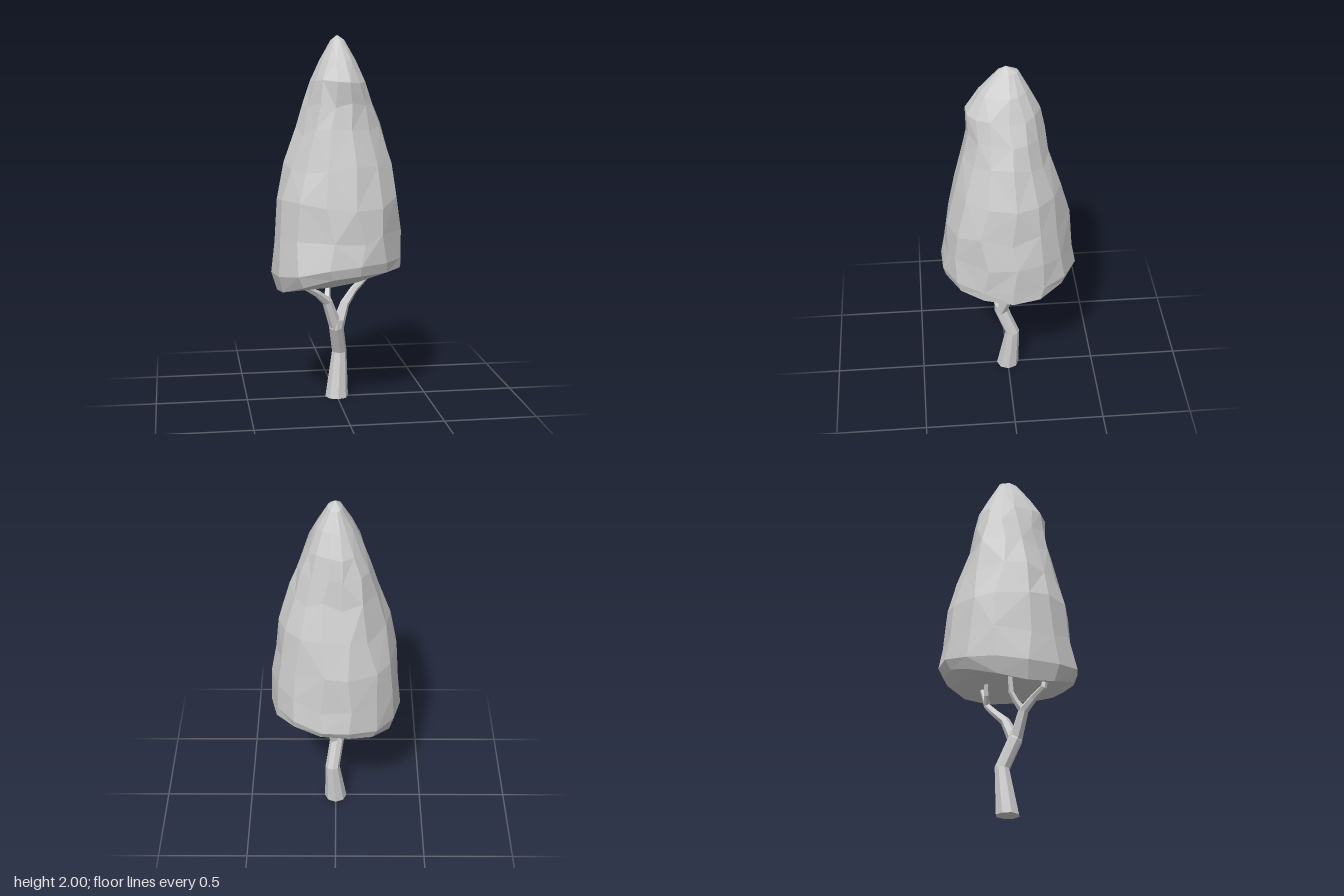
import * as THREE from 'three';

const material = new THREE.MeshStandardMaterial({ color: 0xcccccc, flatShading: true });

// Small seeded noise in -1..1
function makeNoise(seed) {
  return () => {
    seed = (seed * 16807) % 2147483647;
    return (seed / 2147483647) * 2 - 1;
  };
}

// Skin a stack of equal-sized rings, bottom to top, and close both ends with a fan
function loft(name, rings, bottom, top) {
  const n = rings[0].length;
  const pos = [];
  const tri = (...pts) => pts.forEach((p) => pos.push(p.x, p.y, p.z));
  for (let r = 0; r < rings.length - 1; r++) {
    for (let i = 0; i < n; i++) {
      const j = (i + 1) % n;
      const a = rings[r][i], b = rings[r][j], c = rings[r + 1][j], d = rings[r + 1][i];
      // alternate the diagonal for an irregular faceted look
      if ((i + r) % 2) { tri(a, d, c); tri(a, c, b); }
      else { tri(a, d, b); tri(d, c, b); }
    }
  }
  const last = rings[rings.length - 1];
  for (let i = 0; i < n; i++) {
    const j = (i + 1) % n;
    tri(bottom, rings[0][i], rings[0][j]);
    tri(top, last[j], last[i]);
  }
  const geo = new THREE.BufferGeometry();
  geo.setAttribute('position', new THREE.Float32BufferAttribute(pos, 3));
  geo.computeVertexNormals();
  const mesh = new THREE.Mesh(geo, material);
  mesh.name = name;
  return mesh;
}

// Tapered limb through [x, y, z, radius] stations
function limb(name, stations, sides, levelBase = false) {
  const pts = stations.map(([x, y, z]) => new THREE.Vector3(x, y, z));
  const up = new THREE.Vector3(0, 1, 0);
  const rings = pts.map((p, k) => {
    const dir = pts[Math.min(k + 1, pts.length - 1)].clone().sub(pts[Math.max(k - 1, 0)]).normalize();
    if (levelBase && k === 0) dir.copy(up);
    const q = new THREE.Quaternion().setFromUnitVectors(up, dir);
    return Array.from({ length: sides }, (_, i) => {
      const a = (i / sides) * Math.PI * 2;
      return new THREE.Vector3(Math.cos(a), 0, Math.sin(a))
        .multiplyScalar(stations[k][3]).applyQuaternion(q).add(p);
    });
  });
  return loft(name, rings, pts[0], pts[pts.length - 1]);
}

// Leafy crown: each level is [y, xMin, xMax, zMin, zMax, slope along x, lift by z squared]
function makeCrown() {
  const levels = [
    [0.70, -0.265, 0.29, -0.28, 0.285, 0.17, 0],
    [0.685, -0.325, 0.352, -0.345, 0.352, 0.17, 0.5],
    [0.77, -0.355, 0.35, -0.37, 0.366, 0.13, 0.2],
    [0.93, -0.343, 0.343, -0.355, 0.342, 0.05, 0],
    [1.12, -0.328, 0.32, -0.327, 0.33, 0, 0],
    [1.3, -0.285, 0.3, -0.277, 0.287, 0, 0],
    [1.5, -0.217, 0.24, -0.212, 0.237, 0, 0],
    [1.64, -0.178, 0.195, -0.187, 0.218, 0, 0],
    [1.75, -0.143, 0.152, -0.165, 0.218, 0, 0],
    [1.87, -0.092, 0.102, -0.107, 0.15, 0, 0],
    [1.97, -0.034, 0.04, -0.055, 0.06, 0, 0],
  ];
  // broad swellings: angle, height, vertical spread, strength
  const swellings = [
    [Math.PI * 0.75, 0.75, 0.25, 0.08],
    [Math.PI * 1.25, 1.57, 0.15, 0.13],
    [Math.PI * 0.25, 1.03, 0.2, 0.08],
  ];
  const noise = makeNoise(4217);
  const sides = 14;
  const rings = levels.map(([y, x0, x1, z0, z1, slope, lift], r) => {
    const wobble = r > 2 ? Math.min(0.9, x1 / 0.25) : 0.3;
    return Array.from({ length: sides }, (_, i) => {
      const a = ((i + noise() * 0.22 * wobble) / sides) * Math.PI * 2;
      const c = Math.cos(a), s = Math.sin(a);
      let k = 1.01 + noise() * 0.02 * wobble;
      for (const [angle, height, spread, strength] of swellings) {
        k += strength * Math.max(0, Math.cos(a - angle)) ** 8 * Math.exp(-(((y - height) / spread) ** 2));
      }
      const x = c * (c > 0 ? x1 : -x0) * k;
      const z = s * (s > 0 ? z1 : -z0) * k;
      return new THREE.Vector3(x, y + slope * x + lift * z * z + noise() * 0.03 * wobble, z);
    });
  });
  // the underside is hollowed up towards the middle
  return loft('crown', rings, new THREE.Vector3(0, 0.79, 0), new THREE.Vector3(0, 2, 0.01));
}

export function createModel() {
  const tree = new THREE.Group();
  tree.name = 'tree';

  tree.add(makeCrown());

  // Bent trunk
  tree.add(limb('trunk', [
    [0, 0, 0, 0.064],
    [0.018, 0.255, -0.025, 0.041],
    [-0.008, 0.41, 0.038, 0.04],
    [-0.002, 0.455, 0.042, 0.034],
  ], 8, true));

  // Forked branches reaching into the crown
  const branches = new THREE.Group();
  branches.name = 'branches';
  branches.add(
    limb('rightBranch', [
      [-0.01, 0.41, 0.04, 0.036],
      [-0.062, 0.56, 0.068, 0.028],
      [-0.12, 0.615, 0.105, 0.021],
      [-0.182, 0.655, 0.14, 0.018],
      [-0.188, 0.74, 0.155, 0.013],
    ], 6),
    limb('rightTwig', [
      [-0.065, 0.555, 0.068, 0.024],
      [-0.055, 0.61, 0.03, 0.017],
      [-0.05, 0.66, 0.005, 0.015],
      [-0.05, 0.79, -0.005, 0.012],
    ], 5),
    limb('leftBranch', [
      [0, 0.41, 0.038, 0.036],
      [0.045, 0.53, 0.0, 0.026],
      [0.1, 0.595, -0.045, 0.021],
      [0.165, 0.655, -0.065, 0.018],
      [0.205, 0.79, -0.09, 0.013],
    ], 6),
    limb('leftTwig', [
      [0.165, 0.65, -0.065, 0.017],
      [0.13, 0.7, -0.08, 0.013],
      [0.118, 0.79, -0.085, 0.011],
    ], 5),
  );
  tree.add(branches);
  return tree;
}
